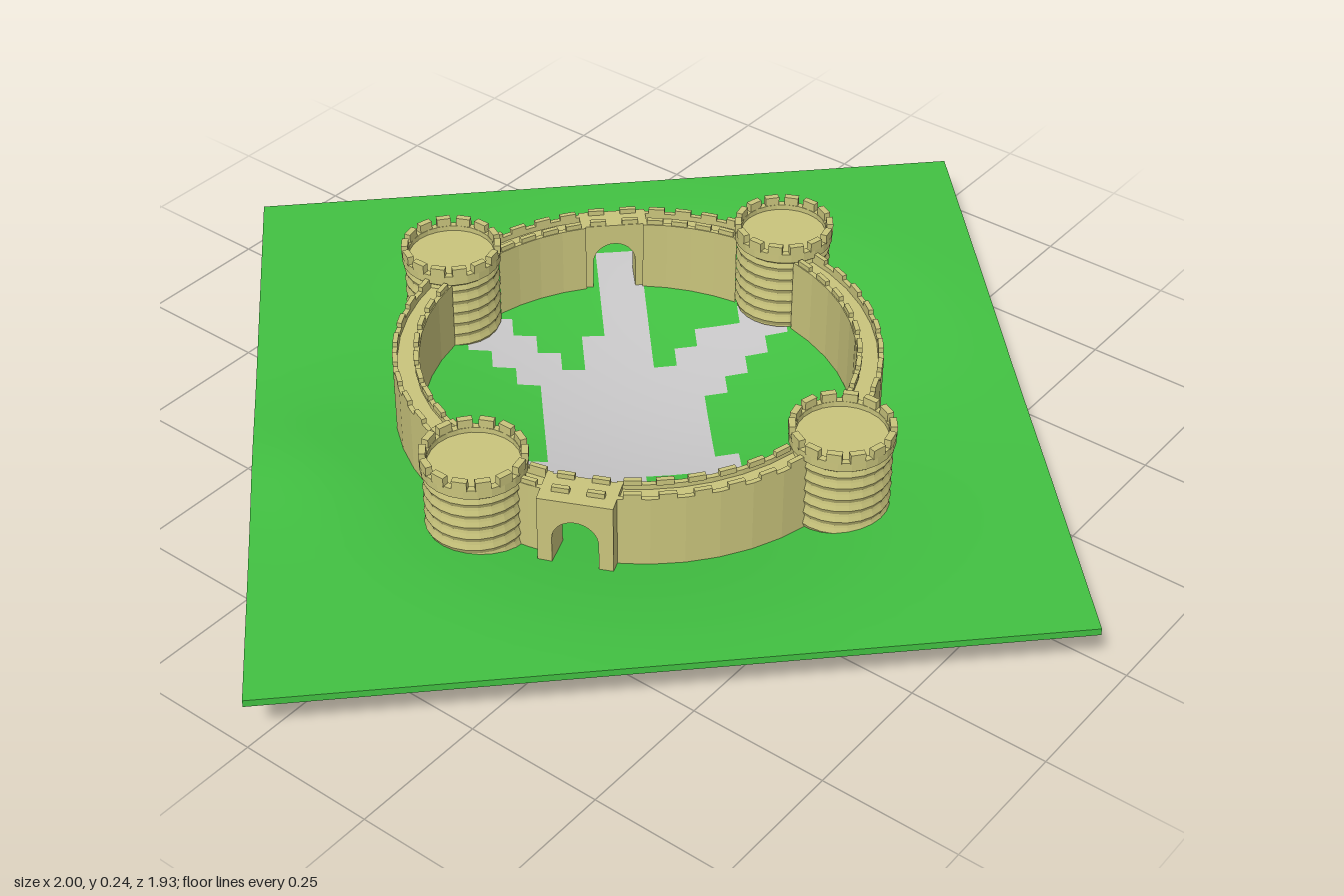
import * as THREE from 'three';
import { mergeGeometries } from 'three/addons/utils/BufferGeometryUtils.js';

const material = (name, color) => {
  const m = new THREE.MeshStandardMaterial({ color });
  m.name = name;
  return m;
};
const mesh = (name, geometry, mat) => {
  const m = new THREE.Mesh(geometry, mat);
  m.name = name;
  return m;
};
const flat = (g) => {
  const f = g.index ? g.toNonIndexed() : g;
  f.computeVertexNormals();
  return f;
};
const lathe = (pts, segments, start, length) =>
  flat(new THREE.LatheGeometry(pts.map(([r, y]) => new THREE.Vector2(r, y)), segments, start, length));

// terrain: a thin diamond sheet that sags into a bowl
const N = 32;
const CORNERS = [[0.025, -0.97], [1, -0.01], [-0.03, 0.96], [-1, 0]];
const RIM_TOP = 0.1, THICK = 0.013;
function terrainY(x, z) {
  const r = Math.min(Math.hypot(x - 0.02, z - 0.04) / 0.71, 1);
  const knoll = 0.012 * Math.exp(-((x + 0.52) ** 2 + (z + 0.36) ** 2) / 0.02);
  return RIM_TOP - 0.0435 * (1 + Math.cos(Math.PI * r)) + knoll;
}
function gridPoint(i, j, drop = 0) {
  const u = i / N, v = j / N, [a, b, c, d] = CORNERS;
  const mix = (k) => (1 - u) * (1 - v) * a[k] + u * (1 - v) * b[k] + u * v * c[k] + (1 - u) * v * d[k];
  const x = mix(0), z = mix(1);
  return [x, terrainY(x, z) - drop, z];
}

// paved cells: a central court with lanes leading to towers and gates
const LANES = [
  [0, -0.4, 0.05], [0.38, -0.01, 0.05], [0, 0.36, 0.05],
  [-0.38, -0.01, 0.06], [0.35, -0.34, 0.05], [-0.18, 0.1, 0.045],
];
function isPaved(x, z) {
  const cz = -0.04;
  if (Math.hypot(x + 0.01, z - cz) < 0.16) return true;
  return LANES.some(([ex, ez, w]) => {
    const dx = ex, dz = ez - cz, len2 = dx * dx + dz * dz;
    const t = (x * dx + (z - cz) * dz) / len2;
    return t > 0 && t < 1 && Math.abs(x * dz - (z - cz) * dx) / Math.sqrt(len2) < w;
  });
}

function sheetGeometry(drop, flip) {
  const pos = [], grass = [], paved = [];
  for (let i = 0; i <= N; i++) for (let j = 0; j <= N; j++) pos.push(...gridPoint(i, j, drop));
  for (let i = 0; i < N; i++) for (let j = 0; j < N; j++) {
    const a = i * (N + 1) + j, b = a + 1, c = a + N + 2, d = a + N + 1;
    const [x, , z] = gridPoint(i + 0.5, j + 0.5);
    const list = !flip && isPaved(x, z) ? paved : grass;
    list.push(...(flip ? [a, c, b, a, d, c] : [a, b, c, a, c, d]));
  }
  const g = new THREE.BufferGeometry();
  g.setAttribute('position', new THREE.Float32BufferAttribute(pos, 3));
  g.setIndex([...grass, ...paved]);
  g.addGroup(0, grass.length, 0);
  g.addGroup(grass.length, paved.length, 1);
  g.computeVertexNormals();
  return g;
}

function rimGeometry() {
  const loop = [], pos = [];
  for (let k = 0; k < N; k++) loop.push([k, 0]);
  for (let k = 0; k < N; k++) loop.push([N, k]);
  for (let k = 0; k < N; k++) loop.push([N - k, N]);
  for (let k = 0; k < N; k++) loop.push([0, N - k]);
  loop.forEach((p, k) => {
    const q = loop[(k + 1) % loop.length];
    const t0 = gridPoint(...p), t1 = gridPoint(...q), b0 = gridPoint(...p, THICK), b1 = gridPoint(...q, THICK);
    pos.push(...t0, ...t1, ...b1, ...t0, ...b1, ...b0);
  });
  const g = new THREE.BufferGeometry();
  g.setAttribute('position', new THREE.Float32BufferAttribute(pos, 3));
  g.computeVertexNormals();
  return g;
}

// a block standing on a circle at angle phi, facing outward
function ringBlock(radius, phi, y, w, h, d) {
  return new THREE.BoxGeometry(w, h, d).translate(0, y, radius).rotateY(phi);
}

// round tower with bulging stone courses, sunken floor and battlements
function towerGeometry() {
  const profile = [[0, 0.06], [0.084, 0.06]];
  const courses = 6;
  for (let k = 0; k < courses; k++) {
    const y = 0.06 + (k * 0.145) / courses;
    profile.push([0.084, y + 0.003], [0.088, y + 0.012], [0.085, y + 0.022]);
  }
  profile.push([0.091, 0.208], [0.091, 0.226], [0.079, 0.226], [0.079, 0.216], [0, 0.216]);
  const parts = [lathe(profile, 24)];
  const count = 14;
  for (let k = 0; k < count; k++)
    parts.push(flat(ringBlock(0.085, ((k + 0.5) / count) * Math.PI * 2, 0.233, 0.026, 0.018, 0.012)));
  return mergeGeometries(parts);
}

// curtain wall stretch with a walkway between two low parapets
function wallGeometry(start, end) {
  const profile = [
    [0.385, 0.056], [0.433, 0.056], [0.433, 0.206], [0.424, 0.206], [0.424, 0.196],
    [0.394, 0.196], [0.394, 0.206], [0.385, 0.206], [0.385, 0.056],
  ];
  const parts = [lathe(profile, Math.max(2, Math.round((end - start) / 0.13)), start, end - start)];
  const count = Math.round((end - start) / 0.13);
  for (let k = 0; k < count; k++) {
    const phi = start + ((k + 0.5) / count) * (end - start);
    for (const r of [0.4275, 0.3905]) parts.push(flat(ringBlock(r, phi, 0.21, 0.03, 0.011, 0.009)));
  }
  return mergeGeometries(parts);
}

// gatehouse block with a round-arched passage
function gateGeometry(width, depth, inner) {
  const w = width / 2, o = 0.04, base = 0.05, spring = 0.125;
  const s = new THREE.Shape();
  s.moveTo(-w, base);
  s.lineTo(-o, base);
  s.lineTo(-o, spring);
  s.absarc(0, spring, o, Math.PI, 0, true);
  s.lineTo(o, base);
  s.lineTo(w, base);
  s.lineTo(w, 0.206);
  s.lineTo(-w, 0.206);
  s.closePath();
  const g = new THREE.ExtrudeGeometry(s, { depth, bevelEnabled: false, curveSegments: 8 });
  return flat(g.translate(0, 0, inner));
}

export function createModel() {
  const grass = material('grass', 0x42c142);
  const paving = material('paving', 0xc8c7c8);
  const stone = material('sandstone', 0xc9c47c);
  const model = new THREE.Group();
  model.name = 'roundCastle';

  const ground = new THREE.Group();
  ground.name = 'ground';
  ground.add(
    mesh('groundTop', sheetGeometry(0, false), [grass, paving]),
    mesh('groundUnderside', sheetGeometry(THICK, true), [grass, paving]),
    mesh('groundRim', rimGeometry(), grass),
  );
  model.add(ground);

  const castle = new THREE.Group();
  castle.name = 'castle';
  castle.position.set(0.003, 0, -0.012);
  model.add(castle);

  // four towers on the compass points
  const tower = towerGeometry();
  for (let k = 0; k < 4; k++) {
    const t = mesh('tower', tower, stone), a = (k * Math.PI) / 2;
    t.position.set(0.438 * Math.sin(a), 0, 0.438 * Math.cos(a));
    castle.add(t);
  }

  // wall stretches between towers, broken by the two gates
  const half = 0.14, gateA = 0.75 * Math.PI, gateB = 1.64 * Math.PI;
  const clear = 0.17;
  for (let k = 0; k < 4; k++) {
    const start = (k * Math.PI) / 2 + clear, end = ((k + 1) * Math.PI) / 2 - clear;
    const gate = [gateA, gateB].find((g) => g > start && g < end);
    const spans = gate ? [[start, gate - half], [gate + half, end]] : [[start, end]];
    for (const [a, b] of spans) if (b - a > 0.02) castle.add(mesh('curtainWall', wallGeometry(a, b), stone));
  }
  const gates = [['rearGate', gateA, 0.125, 0.05, 0.385], ['frontGate', gateB, 0.13, 0.07, 0.385]];
  for (const [name, phi, width, depth, inner] of gates) {
    const g = mesh(name, gateGeometry(width, depth, inner), stone);
    g.rotation.y = phi;
    castle.add(g);
    // merlons over the gate
    for (const dx of [-0.03, 0.03]) for (const r of [0.4275, 0.3905])
      g.add(mesh('gateMerlon', new THREE.BoxGeometry(0.03, 0.011, 0.009).translate(dx, 0.21, r), stone));
  }
  return model;
}
